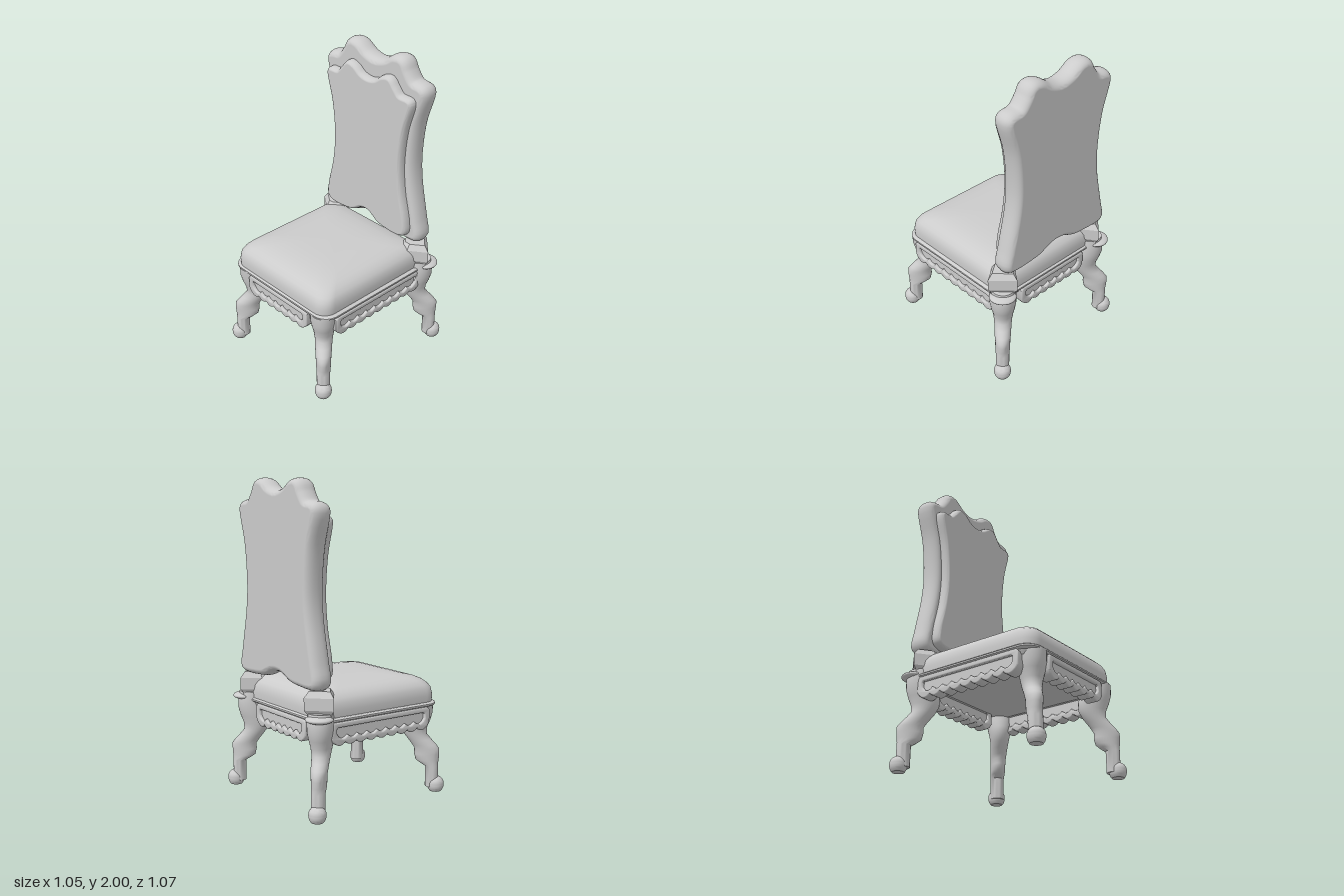
import * as THREE from 'three';
import { toCreasedNormals } from 'three/addons/utils/BufferGeometryUtils.js';

const material = new THREE.MeshStandardMaterial({ color: 0xcccccc });

function add(parent, name, geometry, x = 0, y = 0, z = 0) {
  const mesh = new THREE.Mesh(geometry, material);
  mesh.name = name;
  mesh.position.set(x, y, z);
  parent.add(mesh);
  return mesh;
}

// Closed skin over rings of [x, y, z] points, bottom to top, with end caps
function loft(rings, crease) {
  const n = rings[0].length, pos = rings.flat(2), idx = [];
  for (let i = 0; i < rings.length - 1; i++) {
    for (let j = 0; j < n; j++) {
      const a = i * n + j, b = i * n + (j + 1) % n;
      idx.push(a, a + n, b, b, a + n, b + n);
    }
  }
  [0, rings.length - 1].forEach((i) => {
    const c = pos.length / 3;
    const mid = [0, 1, 2].map((k) => rings[i].reduce((s, p) => s + p[k], 0) / n);
    pos.push(...mid);
    for (let j = 0; j < n; j++) {
      const a = i * n + j, b = i * n + (j + 1) % n;
      if (i === 0) idx.push(c, a, b); else idx.push(c, b, a);
    }
  });
  const g = new THREE.BufferGeometry();
  g.setAttribute('position', new THREE.Float32BufferAttribute(pos, 3));
  g.setIndex(idx);
  return toCreasedNormals(g, crease);
}

// Rounded rectangle ring at height y
function squareRing(y, hx, hz, r) {
  const ring = [];
  for (let q = 0; q < 4; q++) {
    const sx = q === 0 || q === 3 ? 1 : -1, sz = q < 2 ? 1 : -1;
    for (let k = 0; k <= 8; k++) {
      const t = (q + k / 8) * Math.PI / 2;
      ring.push([sx * (hx - r) + r * Math.cos(t), y, sz * (hz - r) + r * Math.sin(t)]);
    }
  }
  return ring;
}

// Half outline mirrored into a smooth closed shape, extruded with a soft edge
function paddedPanel(half, bevel, thickness, depth) {
  const right = half.map(([x, y]) => new THREE.Vector3(x, y, 0));
  const left = half.slice(1, -1).reverse().map(([x, y]) => new THREE.Vector3(-x, y, 0));
  const curve = new THREE.CatmullRomCurve3([...right, ...left], true, 'centripetal');
  const shape = new THREE.Shape(curve.getPoints(160).slice(0, -1).map((p) => new THREE.Vector2(p.x, p.y)));
  const extruded = new THREE.ExtrudeGeometry(shape, {
    depth: depth - 2 * thickness, bevelEnabled: true, bevelSize: bevel,
    bevelThickness: thickness, bevelSegments: 7,
  });
  extruded.translate(0, 0, thickness);
  const g = toCreasedNormals(extruded, 0.6);
  // Flat faces blend straight into the rounded edge
  const p = g.attributes.position, normal = g.attributes.normal;
  for (let i = 0; i < p.count; i++) {
    if (p.getZ(i) < 1e-5) normal.setXYZ(i, 0, 0, -1);
    else if (p.getZ(i) > depth - 1e-5) normal.setXYZ(i, 0, 0, 1);
  }
  return g;
}

// Apron: raised frame with scalloped lower edge around a sunken panel
function makeApron(name, width, lobes) {
  const group = new THREE.Group();
  group.name = name;
  const outline = (w, top, bottom, wave) => {
    const pts = [new THREE.Vector2(-w / 2, top - 0.012), new THREE.Vector2(-w / 2, bottom + 0.02)];
    for (let i = 0; i <= lobes * 8; i++) {
      const u = i / (lobes * 8);
      pts.push(new THREE.Vector2((u - 0.5) * (w - 0.03), bottom - wave * Math.abs(Math.sin(u * lobes * Math.PI))));
    }
    pts.push(new THREE.Vector2(w / 2, bottom + 0.02), new THREE.Vector2(w / 2, top - 0.012));
    pts.push(new THREE.Vector2(w / 2 - 0.012, top), new THREE.Vector2(-w / 2 + 0.012, top));
    return pts;
  };
  const frame = new THREE.Shape(outline(width - 0.016, 0.567, 0.459, 0.02));
  frame.holes.push(new THREE.Path(outline(width - 0.066, 0.55, 0.482, 0.016)));
  const options = { depth: 0.06, bevelEnabled: true, bevelSize: 0.008, bevelThickness: 0.01, bevelSegments: 3 };
  add(group, 'apronFrame', toCreasedNormals(new THREE.ExtrudeGeometry(frame, options), 0.7), 0, 0, -0.07);
  add(group, 'apronPanel', new THREE.BoxGeometry(width - 0.05, 0.1, 0.045), 0, 0.512, -0.042);
  return group;
}

// Curved leg section: height, radial offset, radial half depth, half width
const legSections = [
  [0.03, 0, 0.042, 0.042], [0.165, 0, 0.043, 0.043], [0.185, -0.018, 0.06, 0.045], [0.205, -0.03, 0.075, 0.047],
  [0.245, -0.033, 0.081, 0.048], [0.28, -0.033, 0.08, 0.05], [0.305, -0.05, 0.078, 0.052], [0.34, -0.08, 0.075, 0.054],
  [0.375, -0.108, 0.074, 0.058], [0.42, -0.118, 0.086, 0.066], [0.47, -0.108, 0.096, 0.076],
  [0.52, -0.094, 0.096, 0.083], [0.585, -0.087, 0.09, 0.083],
];
const footProfile = [[0, 0], [0.038, 0], [0.05, 0.02], [0.054, 0.045], [0.049, 0.07], [0.03, 0.09], [0, 0.097]];
// Half plan of the back post (radial, sideways) and its height, scale pairs
const postPlan = [[-0.035, 0.09], [-0.172, 0.068], [-0.205, 0.028]];
const postLevels = [[0.6, 0.8], [0.63, 0.82], [0.655, 1], [0.73, 1], [0.768, 0.72]];

function makeLeg(name, x, z, isBack) {
  const leg = new THREE.Group();
  leg.name = name;
  leg.position.set(x, 0, z);
  leg.rotation.y = -Math.atan2(Math.sign(z), Math.sign(x));
  const sections = isBack ? [...legSections, [0.635, -0.09, 0.082, 0.076]] : legSections;
  const rings = sections.map(([y, r, a, b]) => Array.from({ length: 28 }, (_, j) => {
    const t = j / 28 * Math.PI * 2;
    return [r + a * Math.cos(t), y, b * Math.sin(t)];
  }));
  add(leg, 'curvedLeg', loft(rings, 0.9));
  const foot = new THREE.SplineCurve(footProfile.slice(1).map(([r, y]) => new THREE.Vector2(r, y))).getPoints(16);
  const ball = new THREE.LatheGeometry([new THREE.Vector2(0, 0), ...foot], 28);
  add(leg, 'ballFoot', toCreasedNormals(ball, 0.8), 0.026, 0, 0);
  if (isBack) {
    // Faceted post that carries the backrest, and a collar on the outer side
    const plan = [...postPlan, ...postPlan.map(([r, t]) => [r, -t]).reverse()];
    const postRings = postLevels.map(([y, s]) => plan.map(([r, t]) => [-0.115 + (r + 0.115) * s, y, t * s]));
    add(leg, 'backPost', loft(postRings, 0.4));
    add(leg, 'postCollar', new THREE.SphereGeometry(1, 28, 14), -0.04, 0.602, 0).scale.set(0.075, 0.024, 0.085);
  }
  return leg;
}

export function createModel() {
  const chair = new THREE.Group();
  chair.name = 'chair';

  // Legs
  for (const s of [1, -1]) {
    const side = s > 0 ? 'Left' : 'Right';
    chair.add(makeLeg('front' + side + 'Leg', s * 0.4, 0.465, false));
    chair.add(makeLeg('back' + side + 'Leg', s * 0.453, -0.465, true));
  }

  // Seat rail, cushion and aprons
  const seat = new THREE.Group();
  seat.name = 'seat';
  seat.position.set(-0.01, 0, 0.02);
  chair.add(seat);
  const rail = [[0.545, 0.425], [0.572, 0.435], [0.576, 0.446], [0.582, 0.452], [0.592, 0.452], [0.6, 0.442]];
  add(seat, 'seatRail', loft(rail.map(([y, h]) => squareRing(y, h, h + 0.014, 0.1)), 0.7));
  const cushion = [
    [0.595, 0.428, 0.452], [0.64, 0.431, 0.454], [0.685, 0.424, 0.447], [0.71, 0.41, 0.432], [0.735, 0.386, 0.405],
    [0.753, 0.352, 0.368], [0.768, 0.295, 0.3], [0.777, 0.22, 0.22], [0.78, 0.12, 0.12],
  ];
  add(seat, 'seatCushion', loft(cushion.map(([y, hx, hz]) => squareRing(y, hx, hz, Math.min(0.09, hx * 0.3))), 0.8));
  for (let i = 0; i < 4; i++) {
    const isSide = i % 2 === 1, angle = i * Math.PI / 2;
    const apron = makeApron(['front', 'left', 'back', 'right'][i] + 'Apron', isSide ? 0.76 : 0.56, isSide ? 9 : 7);
    const reach = isSide ? 0.452 : 0.467;
    apron.rotation.y = angle;
    apron.position.set(Math.sin(angle) * reach, 0, Math.cos(angle) * reach - (isSide ? 0.01 : 0));
    seat.add(apron);
  }

  // Backrest frame and its padded front
  const back = new THREE.Group();
  back.name = 'backrest';
  back.position.x = -0.01;
  chair.add(back);
  const frameOutline = [
    [0, 0.865], [0.07, 0.855], [0.16, 0.818], [0.25, 0.808], [0.35, 0.805], [0.39, 0.815], [0.372, 0.92],
    [0.318, 1.18], [0.306, 1.35], [0.33, 1.6], [0.387, 1.805], [0.38, 1.822], [0.30, 1.84],
    [0.245, 1.905], [0.215, 1.955], [0.17, 1.957], [0.09, 1.91], [0, 1.89],
  ];
  add(back, 'backFrame', paddedPanel(frameOutline, 0.042, 0.063, 0.138), 0, 0, -0.479);
  const padOutline = [
    [0, 0.898], [0.05, 0.888], [0.12, 0.843], [0.2, 0.827], [0.3, 0.827], [0.335, 0.845], [0.335, 0.92],
    [0.29, 1.12], [0.272, 1.32], [0.295, 1.56], [0.343, 1.745], [0.337, 1.758], [0.26, 1.765],
    [0.215, 1.81], [0.175, 1.852], [0.13, 1.845], [0.07, 1.805], [0, 1.79],
  ];
  add(back, 'backPad', paddedPanel(padOutline, 0.025, 0.042, 0.1), 0, 0, -0.388);
  return chair;
}
